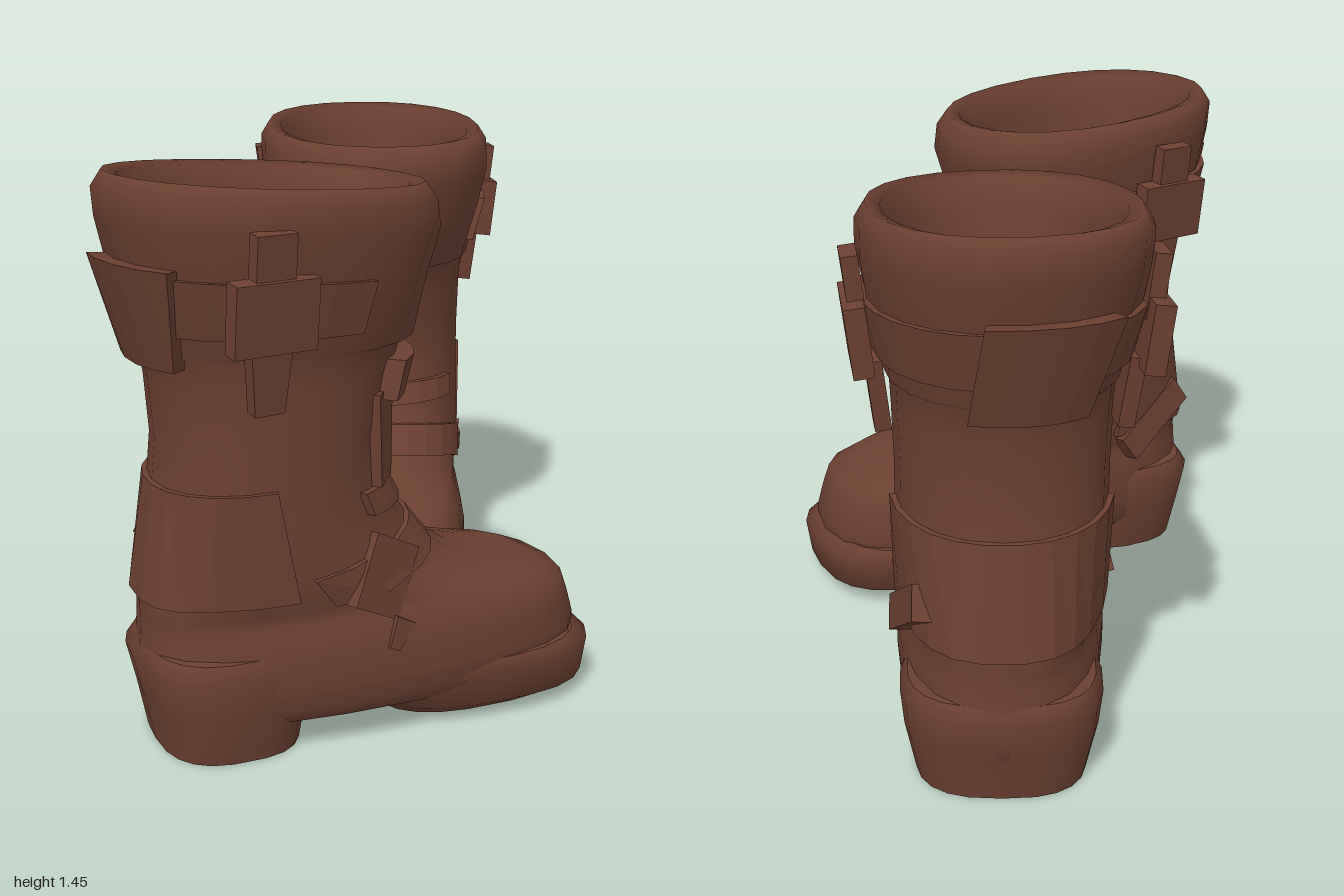
import * as THREE from 'three';

const SIDES = 22;
const leather = new THREE.MeshStandardMaterial({ color: 0x6b4030 });
leather.name = 'brown leather';

// Boot profile from sole to rim, then down inside: [height, half width, back z, front z]
const OUTER = [
  [0.09, 0.24, -0.33, 0.80], [0.13, 0.275, -0.355, 0.84], [0.20, 0.28, -0.37, 0.84], [0.27, 0.28, -0.36, 0.82],
  [0.33, 0.27, -0.355, 0.80], [0.36, 0.255, -0.355, 0.73], [0.385, 0.255, -0.355, 0.60], [0.42, 0.26, -0.355, 0.49],
  [0.48, 0.265, -0.35, 0.40], [0.55, 0.265, -0.34, 0.345], [0.66, 0.265, -0.315, 0.275], [0.80, 0.265, -0.30, 0.27],
  [0.95, 0.27, -0.31, 0.30], [1.03, 0.275, -0.325, 0.33], [1.04, 0.29, -0.34, 0.365], [1.20, 0.325, -0.385, 0.40],
  [1.32, 0.345, -0.415, 0.44], [1.39, 0.345, -0.42, 0.43], [1.43, 0.32, -0.395, 0.40],
];
const INNER = [[1.42, 0.285, -0.36, 0.365], [1.33, 0.265, -0.34, 0.335], [1.1, 0.25, -0.30, 0.295], [0.85, 0.235, -0.265, 0.25]];

// Point on a rounded-square ring; angle 0 is the toe, a quarter turn is the boot's left
function ringPoint([y, w, zb, zf], a, out = 0) {
  const p = 2 / (y < 0.42 ? 2.7 : 2.2);
  const s = Math.sin(a), c = Math.cos(a);
  const z = (zb + zf) / 2 + ((zf - zb) / 2 + out) * Math.sign(c) * Math.abs(c) ** p;
  let x = (w + out) * Math.sign(s) * Math.abs(s) ** p;
  if (y < 0.42) x *= 0.98 + 0.13 * (z - 0.1);
  // the cuff leans and twists slightly
  const cuff = THREE.MathUtils.clamp((y - 1.0) / 0.3, 0, 1);
  const t = 0.16 * cuff;
  return [x * Math.cos(t) + z * Math.sin(t), y - 0.07 * cuff * z, z * Math.cos(t) - x * Math.sin(t)];
}

function profileAt(y) {
  let i = 0;
  while (i < OUTER.length - 2 && OUTER[i + 1][0] < y) i++;
  const a = OUTER[i], b = OUTER[i + 1], t = (y - a[0]) / (b[0] - a[0]);
  return a.map((v, k) => v + (b[k] - v) * t);
}

// Skin closed loops of points, with both ends capped
function loft(rings, flat) {
  const n = rings[0].length, pos = rings.flat(2), idx = [];
  for (let i = 0; i < rings.length - 1; i++) {
    for (let j = 0; j < n; j++) {
      const a = i * n + j, b = i * n + (j + 1) % n;
      idx.push(a, b, b + n, a, b + n, a + n);
    }
  }
  for (const end of [0, rings.length - 1]) {
    const base = pos.length / 3, ring = rings[end];
    ring.forEach((p) => pos.push(...p));
    pos.push(...[0, 1, 2].map((k) => ring.reduce((s, p) => s + p[k], 0) / n));
    for (let j = 0; j < n; j++) {
      const a = base + j, b = base + (j + 1) % n;
      if (end === 0) idx.push(b, a, base + n); else idx.push(a, b, base + n);
    }
  }
  let g = new THREE.BufferGeometry();
  g.setAttribute('position', new THREE.Float32BufferAttribute(pos, 3));
  g.setIndex(idx);
  if (flat) g = g.toNonIndexed();
  g.computeVertexNormals();
  return g;
}

function makeBoot(name) {
  const boot = new THREE.Group();
  boot.name = name;
  const add = (part, geometry) => {
    const m = new THREE.Mesh(geometry, leather);
    m.name = part;
    boot.add(m);
    return m;
  };
  const stack = (part, table) => add(part, loft(
    table.map((r) => Array.from({ length: SIDES }, (_, j) => ringPoint(r, (j / SIDES) * Math.PI * 2))), false));

  // Strap that follows the boot surface between two angles
  const band = (part, y0, y1, a0, a1, out, lift = 0) => {
    const steps = Math.max(4, Math.round((a1 - a0) * 4));
    const rings = Array.from({ length: steps + 1 }, (_, k) => {
      const a = a0 + ((a1 - a0) * k) / steps, dy = lift * Math.cos(a);
      const low = profileAt(y0 + dy), high = profileAt(y1 + dy);
      return [ringPoint(high, a, out), ringPoint(low, a, out), ringPoint(low, a, -0.03), ringPoint(high, a, -0.03)];
    });
    add(part, loft(rings, true));
  };

  // Plate with its lower end optionally narrowed; thickness runs along x
  const plate = (part, size, at, rot, taper = 1) => {
    const g = new THREE.BoxGeometry(...size);
    const p = g.attributes.position;
    for (let i = 0; i < p.count; i++) if (p.getY(i) < 0) p.setZ(i, p.getZ(i) * taper);
    g.computeVertexNormals();
    const m = add(part, g);
    m.position.set(...at);
    m.rotation.set(...rot);
  };

  stack('upper', [...OUTER, ...INNER]);

  // Sole
  stack('heel', [[0.005, 0.23, -0.33, 0.03], [0.14, 0.26, -0.355, 0.05], [0.24, 0.27, -0.378, 0.06], [0.28, 0.25, -0.35, 0.04]]);
  stack('frontSole', [[0.015, 0.20, 0.26, 0.79], [0.05, 0.25, 0.22, 0.86], [0.15, 0.275, 0.10, 0.875], [0.18, 0.265, 0.10, 0.83]]);

  // Heel panel and ankle straps
  band('heelPanel', 0.43, 0.72, 1.75, Math.PI * 2 - 1.75, 0.014, 0.02);
  band('ankleStrap', 0.40, 0.48, -1.6, 1.6, 0.012, 0.08);
  band('instepFold', 0.61, 0.67, -1.0, 1.0, 0.018);
  plate('ankleBuckle', [0.05, 0.19, 0.15], [-0.235, 0.45, 0.20], [0.5, 0.25, -0.25]);
  plate('ankleStrapEnd', [0.05, 0.08, 0.06], [-0.255, 0.30, 0.23], [0.5, 0.1, -0.1], 0.5);
  plate('heelStrap', [0.05, 0.09, 0.27], [0.225, 0.45, -0.17], [0.6, 0.25, 0]);

  // Shin strap with a hanging tab
  band('shinStrap', 0.89, 0.99, -0.75, 0.4, 0.045);
  plate('shinTab', [0.04, 0.24, 0.15], [-0.15, 0.79, 0.23], [0, 0.95, 0], 0.75);

  // Cuff strap and a buckle on each side
  band('cuffStrap', 1.09, 1.22, 1.25, 4.95, 0.015);
  band('cuffStrapBack', 1.01, 1.24, 2.9, 3.75, 0.04);
  for (const [label, s, z] of [['left', 1, -0.13], ['right', -1, -0.11]]) {
    const rot = [0, 0.14, -0.12 * s];
    plate(label + 'Buckle', [0.05, 0.17, 0.21], [0.34 * s, 1.16, z], rot);
    plate(label + 'BuckleLoop', [0.04, 0.16, 0.10], [0.345 * s, 1.27, z], rot);
    plate(label + 'StrapEnd', [0.04, 0.18, 0.11], [0.295 * s, 1.01, z], rot, 0.7);
  }
  return boot;
}

export function createModel() {
  const model = new THREE.Group();
  model.name = 'boots';
  const left = makeBoot('leftBoot');
  left.position.set(-0.17, 0, -0.58);
  left.rotation.y = 0.2;
  const right = makeBoot('rightBoot');
  right.position.set(-0.175, 0, 0.595);
  right.rotation.y = 2.2;
  model.add(left, right);
  return model;
}
